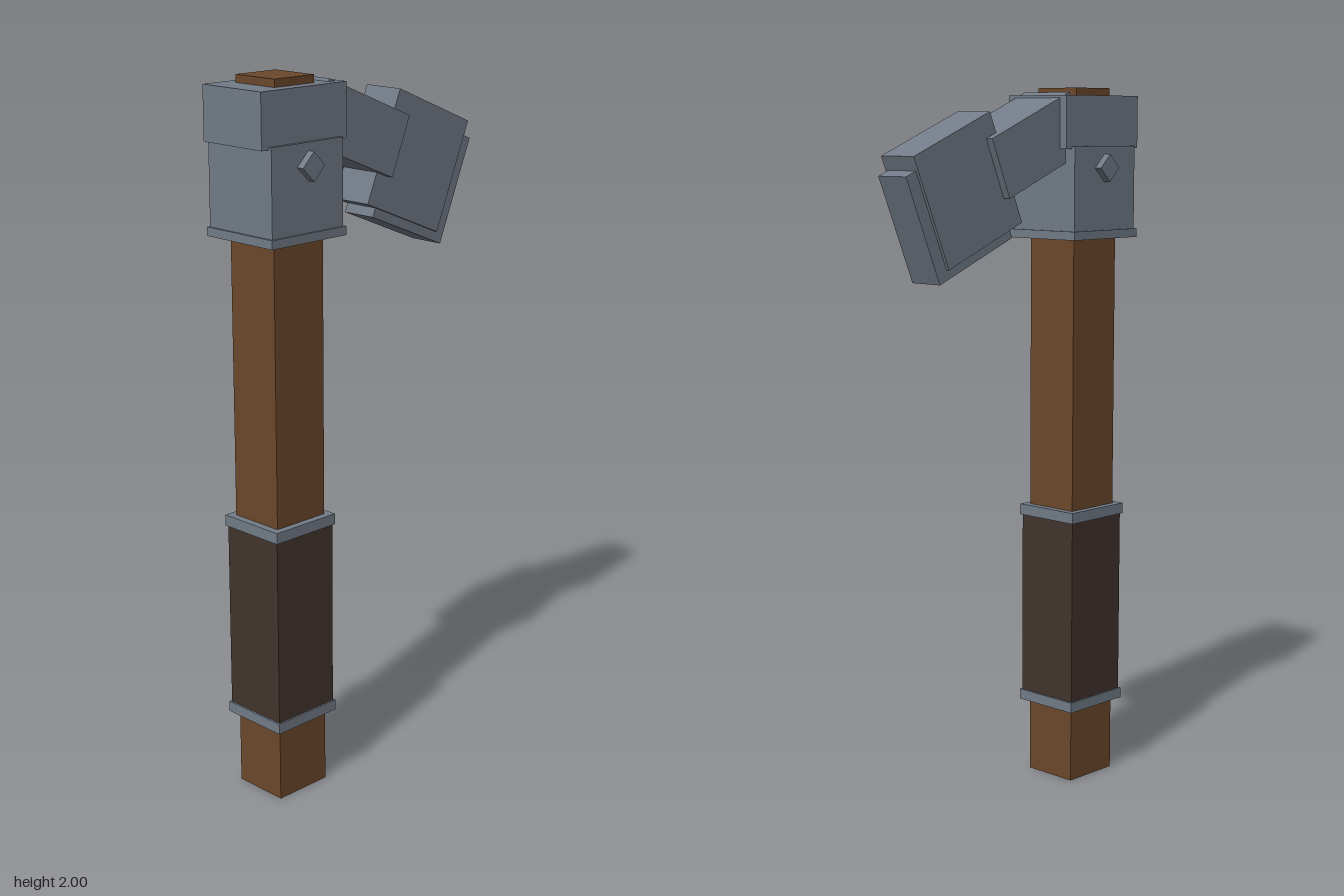
import * as THREE from 'three';

const mat = (name, color) => {
  const m = new THREE.MeshStandardMaterial({ color });
  m.name = name;
  return m;
};

export function createModel() {
  const wood = mat('brown wood', 0x6b472a);
  const leather = mat('dark leather', 0x42342e);
  const steel = mat('blue grey steel', 0x727b87);

  const model = new THREE.Group();
  model.name = 'warHammer';

  const shaftX = -0.278;
  const tilt = -Math.PI / 8;

  // Box given by its size and centre, turned about z
  const box = (name, material, w, h, d, x, y, turn = 0) => {
    const mesh = new THREE.Mesh(new THREE.BoxGeometry(w, h, d), material);
    mesh.name = name;
    mesh.position.set(x, y, 0);
    mesh.rotation.z = turn;
    model.add(mesh);
    return mesh;
  };
  // Box around the shaft, given by its bottom and top heights
  const sleeve = (name, material, w, d, y0, y1, x = shaftX) =>
    box(name, material, w, y1 - y0, d, x, (y0 + y1) / 2);

  // Shaft and grip
  sleeve('shaft', wood, 0.175, 0.165, 0, 1.9);
  sleeve('shaftTip', wood, 0.138, 0.145, 1.9, 2);
  sleeve('grip', leather, 0.207, 0.196, 0.23, 0.79);
  sleeve('lowerGripBand', steel, 0.218, 0.206, 0.215, 0.245);
  sleeve('upperGripBand', steel, 0.218, 0.206, 0.776, 0.807);

  // Socket that holds the head
  sleeve('socketCollar', steel, 0.264, 0.249, 1.583, 1.607);
  sleeve('socket', steel, 0.252, 0.238, 1.6, 1.84);
  sleeve('socketCap', steel, 0.299, 0.218, 1.833, 1.979);

  // Square pin through the socket
  box('pin', steel, 0.055, 0.055, 0.28, -0.276, 1.78, Math.PI / 4);

  // Sloping neck, striking block and its inner plate
  box('neck', steel, 0.327, 0.173, 0.17, -0.049, 1.845, tilt);
  box('strikingBlock', steel, 0.3, 0.322, 0.125, 0.198, 1.727, tilt);
  box('strikingPlate', steel, 0.295, 0.308, 0.106, 0.222, 1.681, tilt);

  return model;
}
